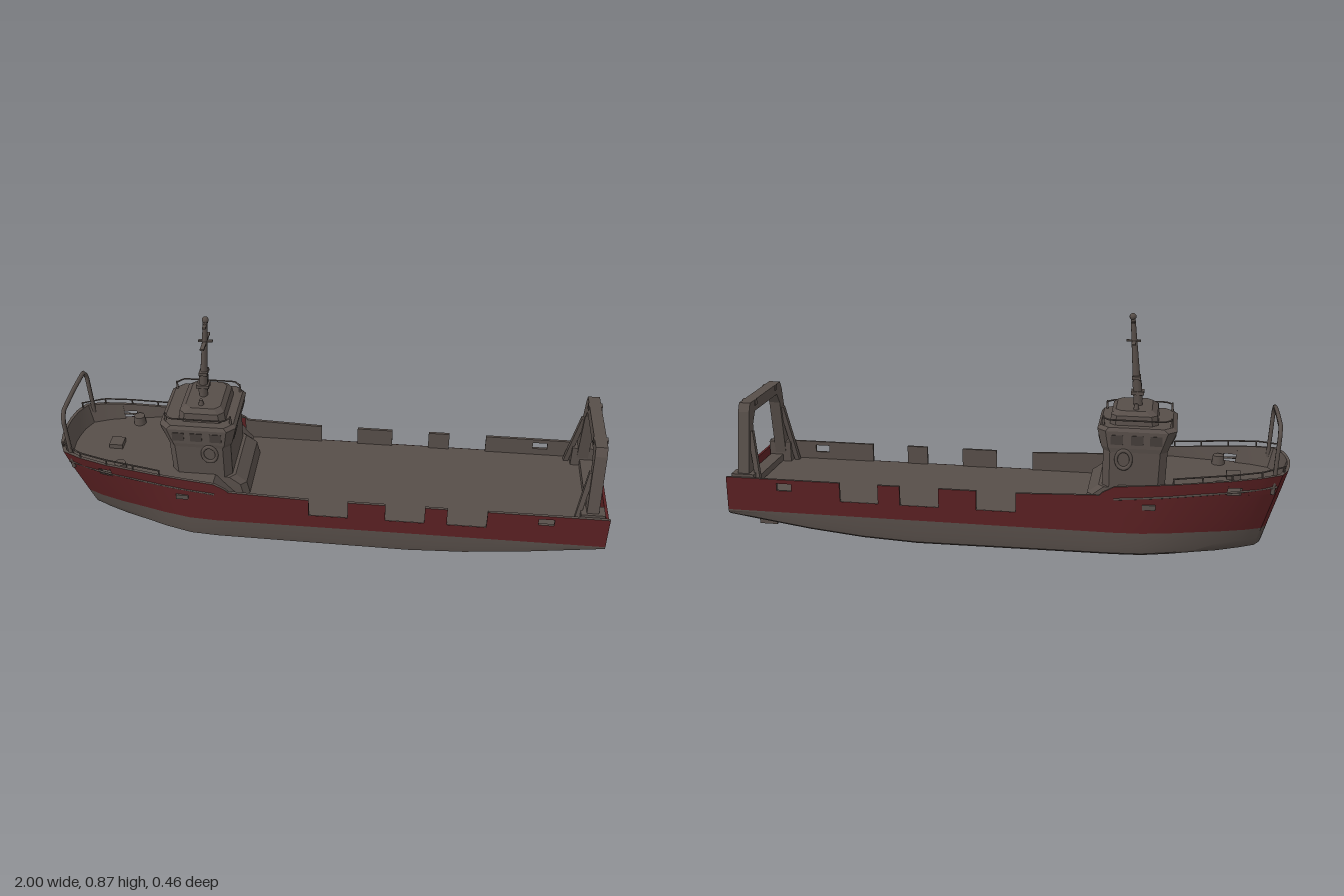
import * as THREE from 'three';
import { toCreasedNormals } from 'three/addons/utils/BufferGeometryUtils.js';

const mat = (name, color) => {
  const m = new THREE.MeshStandardMaterial({ color, side: THREE.DoubleSide });
  m.name = name;
  return m;
};
const V = (x, y, z) => new THREE.Vector3(x, y, z);

// Linear lookup in a short table of [x, value] pairs
function look(table, x) {
  for (let i = 1; i < table.length; i++) {
    const [a, va] = table[i - 1], [b, vb] = table[i];
    if (x <= b) return va + (vb - va) * Math.max(0, (x - a) / (b - a));
  }
  return table[table.length - 1][1];
}

// Skin over a list of equal-length point rings
function loft(rings, { closed = false, caps = false, crease = 0.5 } = {}) {
  const n = rings[0].length, pos = [], idx = [];
  rings.forEach(r => r.forEach(p => pos.push(p.x, p.y, p.z)));
  for (let i = 0; i < rings.length - 1; i++) {
    for (let j = 0; j < (closed ? n : n - 1); j++) {
      const a = i * n + j, b = i * n + (j + 1) % n;
      idx.push(a, a + n, b, b, a + n, b + n);
    }
  }
  if (caps) for (const [o, flip] of [[0, false], [(rings.length - 1) * n, true]]) {
    for (let j = 1; j < n - 1; j++) idx.push(o, o + (flip ? j + 1 : j), o + (flip ? j : j + 1));
  }
  const g = new THREE.BufferGeometry();
  g.setAttribute('position', new THREE.Float32BufferAttribute(pos, 3));
  g.setIndex(idx);
  return toCreasedNormals(g, crease);
}

// Hull lines: plan width, keel, bilge and sheer along the length (bow at -x)
const WIDTH = [[-1, 0], [-0.997, 0.05], [-0.988, 0.1], [-0.965, 0.15], [-0.9, 0.175], [-0.8, 0.194],
  [-0.6, 0.213], [-0.4, 0.225], [1, 0.225]];
const KEEL = [[-1, 0.055], [-0.8, 0.05], [-0.4, 0.027], [0, 0.02], [0.5, 0.02], [0.7, 0.04], [0.87, 0.082], [1, 0.092]];
const BILGE = [[-1, 0.07], [-0.8, 0.06], [0.4, 0.05], [0.7, 0.08], [1, 0.122]];
const SHEER = [[-1, 0.365], [-0.8, 0.345], [-0.6, 0.327], [-0.38, 0.312], [-0.34, 0.27], [1, 0.27]];
const STATIONS = [-1, -0.997, -0.988, -0.965, -0.93, -0.9, -0.8, -0.7, -0.6, -0.5, -0.4, -0.35,
  0, 0.3, 0.5, 0.6, 0.7, 0.8, 0.87, 1];
const WATER = 0.145, FORE_DECK = 0.29, AFT_DECK = 0.2;

// Point on the hull skin, with raked stem and narrowing forefoot
function hullPoint(s, y, side, inset = 0, frac = 1) {
  const fade = THREE.MathUtils.clamp((-0.6 - s) / 0.4, 0, 1);
  const narrow = 1 - 0.5 * THREE.MathUtils.clamp((-0.5 - s) / 0.5, 0, 1) * THREE.MathUtils.clamp((0.34 - y) / 0.28, 0, 1);
  const x = s + fade * (0.085 * (0.365 - y) / 0.31 + inset);
  return V(x, y, side * Math.max(0, look(WIDTH, s) * narrow * frac - inset));
}

export function createModel() {
  const ship = new THREE.Group();
  ship.name = 'ship';
  const red = mat('hullRed', 0x5a2022);
  const grey = mat('warmGrey', 0x574e49);
  const dark = mat('darkGlass', 0x443d39);

  const add = (name, geo, m = grey, x = 0, y = 0, z = 0, parent = ship) => {
    const mesh = new THREE.Mesh(geo, m);
    mesh.name = name;
    mesh.position.set(x, y, z);
    parent.add(mesh);
    return mesh;
  };
  const box = (name, w, h, d, x, y, z, m = grey) => add(name, new THREE.BoxGeometry(w, h, d), m, x, y, z);
  const cyl = (name, r0, r1, h, x, y, z) => add(name, new THREE.CylinderGeometry(r0, r1, h, 12), grey, x, y, z);
  const tube = (name, pts, r, seg = 24) =>
    add(name, new THREE.TubeGeometry(new THREE.CatmullRomCurve3(pts, false, 'catmullrom', 0.1), seg, r, 6));

  // Lower hull, from waterline to waterline
  add('lowerHull', loft(STATIONS.map(s => {
    const k = look(KEEL, s), b = look(BILGE, s);
    const half = [[WATER, 1], [Math.min(b + 0.035, 0.14), 1], [b + 0.01, 0.98], [b, 0.92],
      [k + 0.8 * (b - k), 0.66], [k + 0.3 * (b - k), 0.59]];
    return [...half.map(([y, f]) => hullPoint(s, y, 1, 0, f)), hullPoint(s, k, 1, 0, 0),
      ...half.reverse().map(([y, f]) => hullPoint(s, y, -1, 0, f))];
  }), { caps: true }));

  // Red topsides up to deck level, then bulwark panels with freeing gaps and ports
  const panel = (x0, x1, lo, hi, side) => {
    const xs = [x0, ...STATIONS.filter(s => s > x0 && s < x1), x1];
    if (x0 < -0.38 && x1 > -0.34) xs.push(-0.38, -0.34);
    xs.sort((a, b) => a - b);
    add('bulwarkOuter', loft(xs.map(s => [hullPoint(s, lo(s), side), hullPoint(s, hi(s), side)])), red);
    add('bulwarkInner', loft(xs.map(s => [hullPoint(s, hi(s), side), hullPoint(s, hi(s), side, 0.01),
      hullPoint(s, lo(s), side, 0.01)])));
    for (const s of [x0, x1]) {
      if (s > -1) add('bulwarkEnd', loft([0, 0.01].map(i => [hullPoint(s, lo(s), side, i), hullPoint(s, hi(s), side, i)])));
    }
  };
  const at = y => () => y;
  const sheer = s => look(SHEER, s);
  for (const side of [1, -1]) {
    for (const [a, b, top] of [[-1, -0.36, FORE_DECK], [-0.36, 1, AFT_DECK]]) {
      const xs = [a, ...STATIONS.filter(s => s > a && s < b), b];
      add('topside', loft(xs.map(s => [WATER, 0.2, top].map(y => hullPoint(s, y, side)))), red);
    }
    panel(-1, -0.84, at(FORE_DECK), sheer, side);
    panel(-0.84, -0.79, at(0.318), sheer, side);
    panel(-0.79, -0.36, at(FORE_DECK), sheer, side);
    for (const [a, b] of [[-0.36, -0.06], [0.08, 0.215], [0.355, 0.435], [0.575, 0.755], [0.81, 1]]) {
      panel(a, b, at(AFT_DECK), sheer, side);
    }
    panel(0.755, 0.81, at(AFT_DECK), at(0.228), side);
    panel(0.755, 0.81, at(0.255), sheer, side);

    // Mooring ports and rubbing strake
    box('mooringPort', 0.045, 0.018, 0.008, -0.52, 0.243, side * 0.219);
    tube('strake', [-0.96, -0.85, -0.7, -0.55, -0.4].map(s => hullPoint(s, look(SHEER, s) - 0.045, side)), 0.004);

    // Bow handrail
    const rail = [-0.975, -0.9, -0.8, -0.7, -0.6];
    tube('bowRail', rail.map(s => hullPoint(s, sheer(s) + 0.02, side, 0.006)), 0.003);
    rail.forEach(s => {
      const p = hullPoint(s, sheer(s) + 0.008, side, 0.006);
      cyl('railPost', 0.003, 0.003, 0.026, p.x, p.y, p.z);
    });
  }

  // Deck, with the step down behind the wheelhouse
  const deckLine = [...STATIONS.filter(s => s < -0.4).map(s => [s, FORE_DECK]), [-0.41, FORE_DECK], [-0.33, AFT_DECK], [1, AFT_DECK]];
  add('deck', loft(deckLine.map(([s, y]) => [1, -1].map(d => hullPoint(s, y, d, 0.001)))));

  // Transom
  box('transom', 0.01, 0.105, 0.45, 0.995, 0.1975, 0, red);
  box('transomPlate', 0.006, 0.027, 0.09, 0.999, 0.159, 0);

  // Stern gantry
  const gantry = new THREE.Shape();
  [[0.22, 0.2], [0.165, 0.5], [0.15, 0.53], [-0.15, 0.53], [-0.165, 0.5], [-0.22, 0.2],
    [-0.17, 0.2], [-0.135, 0.45], [-0.11, 0.49], [0.11, 0.49], [0.135, 0.45], [0.17, 0.2]]
    .forEach(([x, y], i) => (i ? gantry.lineTo(x, y) : gantry.moveTo(x, y)));
  const frame = add('sternGantry', new THREE.ExtrudeGeometry(gantry, { depth: 0.042, bevelEnabled: false }), grey, 0.918);
  frame.rotation.y = Math.PI / 2;
  for (const side of [1, -1]) {
    box('gantryFoot', 0.085, 0.08, 0.05, 0.94, 0.24, side * 0.19);
    box('gantryLug', 0.05, 0.02, 0.02, 0.94, 0.52, side * 0.1);
    const strut = box('gantryStrut', 0.018, 0.24, 0.018, 0.9, 0.31, side * 0.178);
    strut.rotation.set(-side * 0.17, 0, -0.16);
  }
  box('sternBeam', 0.05, 0.025, 0.4, 0.955, 0.215, 0);

  // Bow arch
  tube('bowArch', [V(-0.935, 0.29, 0.145), V(-0.945, 0.49, 0.145), V(-0.947, 0.525, 0.12),
    V(-0.947, 0.53, 0), V(-0.947, 0.525, -0.12), V(-0.945, 0.49, -0.145), V(-0.935, 0.29, -0.145)], 0.008, 48);

  // Wheelhouse: chamfered-plan tiers of [y, x0, x1, half width, chamfer]
  const tier = (name, rows) => add(name, loft(rows.map(([y, a, b, w, c]) => [
    V(a + c, y, w), V(b - c, y, w), V(b, y, w - c), V(b, y, c - w),
    V(b - c, y, -w), V(a + c, y, -w), V(a, y, c - w), V(a, y, w - c)]), { closed: true, caps: true, crease: 0.1 }));
  tier('houseBase', [[0.2, -0.56, -0.29, 0.14, 0.02], [0.25, -0.56, -0.3, 0.14, 0.02], [0.28, -0.56, -0.34, 0.138, 0.02]]);
  tier('wheelhouse', [[0.27, -0.57, -0.352, 0.138, 0.025], [0.41, -0.575, -0.352, 0.138, 0.025],
    [0.425, -0.58, -0.345, 0.14, 0.025], [0.485, -0.605, -0.33, 0.14, 0.03], [0.497, -0.59, -0.34, 0.132, 0.03]]);
  tier('roof', [[0.49, -0.54, -0.37, 0.105, 0.02], [0.53, -0.535, -0.375, 0.1, 0.02], [0.545, -0.515, -0.39, 0.085, 0.02]]);

  // Windows, doors and roof posts
  for (const z of [-0.08, 0, 0.08]) {
    const w = box('frontWindow', 0.004, 0.036, 0.055, -0.594, 0.455, z, dark);
    w.rotation.z = 0.39;
  }
  for (const side of [1, -1]) {
    for (const x of [-0.535, -0.47, -0.4]) box('sideWindow', 0.042, 0.034, 0.004, x, 0.455, side * 0.14, dark);
    box('backWindow', 0.004, 0.032, 0.045, -0.339, 0.445, side * 0.08, dark).rotation.z = -0.24;
    const ring = add('lifeRing', new THREE.TorusGeometry(0.026, 0.006, 8, 20), grey, -0.425, 0.385, side * 0.142);
    ring.scale.y = 1.25;
    for (const x of [-0.585, -0.35]) cyl('roofPost', 0.003, 0.005, 0.035, x, 0.51, side * 0.1);
    tube('roofRail', [V(-0.585, 0.522, side * 0.1), V(-0.56, 0.522, side * 0.125), V(-0.375, 0.522, side * 0.125), V(-0.35, 0.522, side * 0.1)], 0.003);
    cyl('roofLight', 0.006, 0.012, 0.03, -0.46, 0.55, side * 0.06);
    cyl('deckVent', 0.02, 0.024, 0.035, -0.76, 0.305, side * 0.145);
  }
  box('foredeckHatch', 0.05, 0.02, 0.05, -0.81, 0.298, 0);

  // Mast, leaning slightly aft
  tube('mastFoot', [V(-0.465, 0.54, 0), V(-0.457, 0.63, 0)], 0.018, 4);
  const mast = cyl('mast', 0.008, 0.016, 0.33, -0.45, 0.695, 0);
  mast.rotation.z = -0.09;
  box('crosstree', 0.014, 0.006, 0.115, -0.442, 0.772, 0);
  box('foreAftSpar', 0.05, 0.006, 0.01, -0.44, 0.775, 0);
  box('upperSpar', 0.012, 0.005, 0.06, -0.436, 0.842, 0);
  box('mastBracket', 0.03, 0.012, 0.042, -0.455, 0.645, 0);
  box('mastCollar', 0.045, 0.012, 0.04, -0.461, 0.59, 0);
  add('mastLight', new THREE.SphereGeometry(0.012, 10, 8), grey, -0.435, 0.86, 0);

  // Rudder, shafts and propellers
  box('rudder', 0.07, 0.11, 0.008, 0.94, 0.055, 0);
  box('skeg', 0.2, 0.05, 0.008, 0.73, 0.055, 0);
  for (const side of [1, -1]) {
    tube('shaft', [V(0.6, 0.04, side * 0.05), V(0.83, 0.065, side * 0.05)], 0.009, 4);
    box('shaftBracket', 0.02, 0.04, 0.008, 0.79, 0.08, side * 0.05);
    for (let i = 0; i < 4; i++) {
      const blade = box('propellerBlade', 0.005, 0.05, 0.016, 0.83, 0.065, side * 0.05);
      blade.rotation.set(i * Math.PI / 4, 0.4, 0);
    }
  }
  return ship;
}
